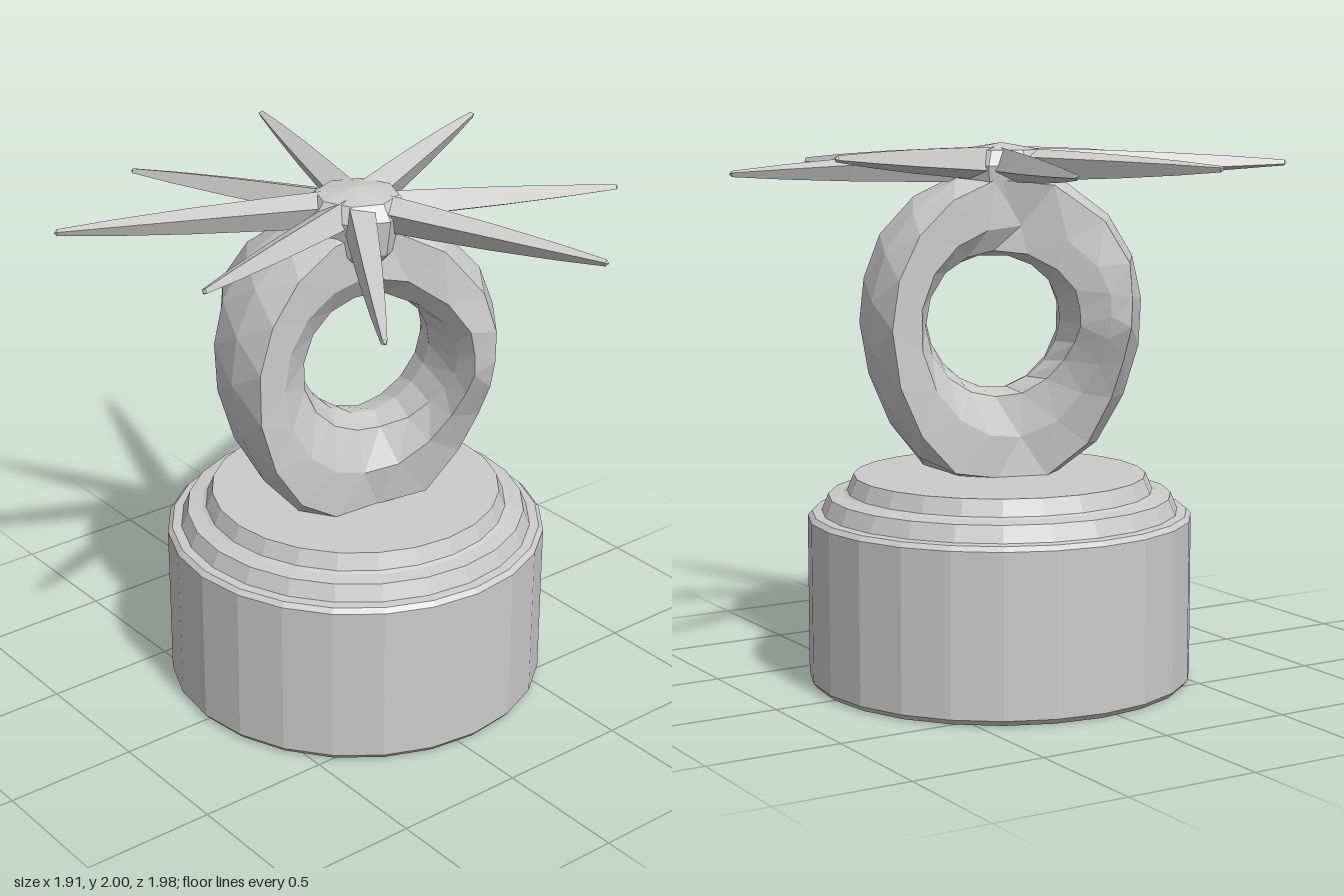
import * as THREE from 'three';

const material = new THREE.MeshStandardMaterial({ color: 0xcccccc, flatShading: true, side: THREE.DoubleSide });

function addMesh(group, name, geometry, x = 0, y = 0, z = 0) {
  const mesh = new THREE.Mesh(geometry, material);
  mesh.name = name;
  mesh.position.set(x, y, z);
  group.add(mesh);
  return mesh;
}

function lathe(profile, sides) {
  return new THREE.LatheGeometry(profile.map(([r, y]) => new THREE.Vector2(r, y)), sides);
}

// Twisted ring: a grooved blade section sweeps forward on one side and backward on the other
function twistedRing(segments) {
  // Sections as [radius, z], from inner back round the outside to inner front
  const side = [[0.31, -0.04], [0.4, -0.1], [0.515, -0.1], [0.52, 0.06], [0.47, 0.24],
    [0.28, 0.45], [0.22, 0.41], [0.18, 0.32], [0.23, 0.1]];
  const mid = [[0.27, -0.1], [0.36, -0.14], [0.54, -0.13], [0.57, -0.05], [0.57, 0.05],
    [0.54, 0.13], [0.36, 0.14], [0.27, 0.1], [0.25, 0]];
  const other = [7, 6, 5, 4, 3, 2, 1, 0, 8].map((k) => [side[k][0], -side[k][1]]);
  const n = mid.length;
  const positions = [];
  const index = [];
  for (let i = 0; i < segments; i++) {
    for (let j = 0; j < n; j++) {
      // Every second row is offset by half a step for triangular facets
      const t = ((i + (j % 2) / 2) / segments) * Math.PI * 2;
      const c = Math.cos(t);
      const s = Math.sin(t);
      const target = c > 0 ? side : other;
      // The blades are broader towards the top
      const spread = Math.min(1, Math.abs(c) ** 0.85 * (1 + 0.35 * s));
      const r = THREE.MathUtils.lerp(mid[j][0], target[j][0], Math.abs(c) ** 1.4);
      const z = THREE.MathUtils.lerp(mid[j][1], target[j][1], spread);
      // The hole sits slightly off centre and the foot is flattened
      const inner = j === 0 || j >= 7;
      const x = r * c + (inner ? 0.035 : 0);
      const y = !inner && s < 0 ? Math.max(r * s * 1.17, -0.568) : r * s;
      positions.push(x, y, z);
      const a = i * n + j;
      const b = i * n + (j + 1) % n;
      const d = ((i + 1) % segments) * n + j;
      const e = ((i + 1) % segments) * n + (j + 1) % n;
      if (j % 2) index.push(a, e, b, a, d, e);
      else index.push(a, d, b, b, d, e);
    }
  }
  const geometry = new THREE.BufferGeometry();
  geometry.setAttribute('position', new THREE.Float32BufferAttribute(positions, 3));
  geometry.setIndex(index);
  geometry.computeVertexNormals();
  return geometry;
}

export function createModel() {
  const model = new THREE.Group();
  model.name = 'trophy';

  // Stepped round pedestal
  addMesh(model, 'pedestal', lathe([
    [0, 0], [0.7, 0], [0.717, 0.02], [0.717, 0.62], [0.7, 0.637], [0.665, 0.64],
    [0.64, 0.7], [0.585, 0.708], [0.57, 0.715], [0.545, 0.775], [0, 0.775],
  ], 24), 0.065, 0, 0);

  // Ring standing on the pedestal
  addMesh(model, 'twistedRing', twistedRing(18), 0.03, 1.34, 0.045);

  // Star on top: faceted hub with eight long spikes
  const star = new THREE.Group();
  star.name = 'star';
  model.add(star);
  const hub = new THREE.Vector3(0.02, 1.92, 0.06);
  addMesh(star, 'starHub', lathe([
    [0, -0.23], [0.09, -0.22], [0.17, -0.13], [0.19, 0], [0.15, 0.055], [0, 0.08],
  ], 8), hub.x, hub.y, hub.z);

  const tips = [
    [-0.96, 1.92, -0.39], [-0.4, 1.92, -0.75], [0.37, 1.92, -0.99], [0.92, 1.97, -0.35],
    [0.95, 1.89, 0.43], [0.37, 1.91, 0.98], [-0.61, 1.89, 0.99], [-0.86, 1.92, 0.36],
  ];
  const up = new THREE.Vector3(0, 1, 0);
  for (const tip of tips) {
    const along = new THREE.Vector3(...tip).sub(hub);
    const length = along.length();
    const profile = [[0.07, 0], [0.058, 0.3], [0.046, 0.55], [0.029, 0.8], [0.012, 0.99], [0, 1]]
      .map(([r, s]) => [r, s * length]);
    const spike = addMesh(star, 'starSpike', lathe(profile, 4), hub.x, hub.y, hub.z);
    spike.quaternion.setFromUnitVectors(up, along.normalize());
  }
  return model;
}
